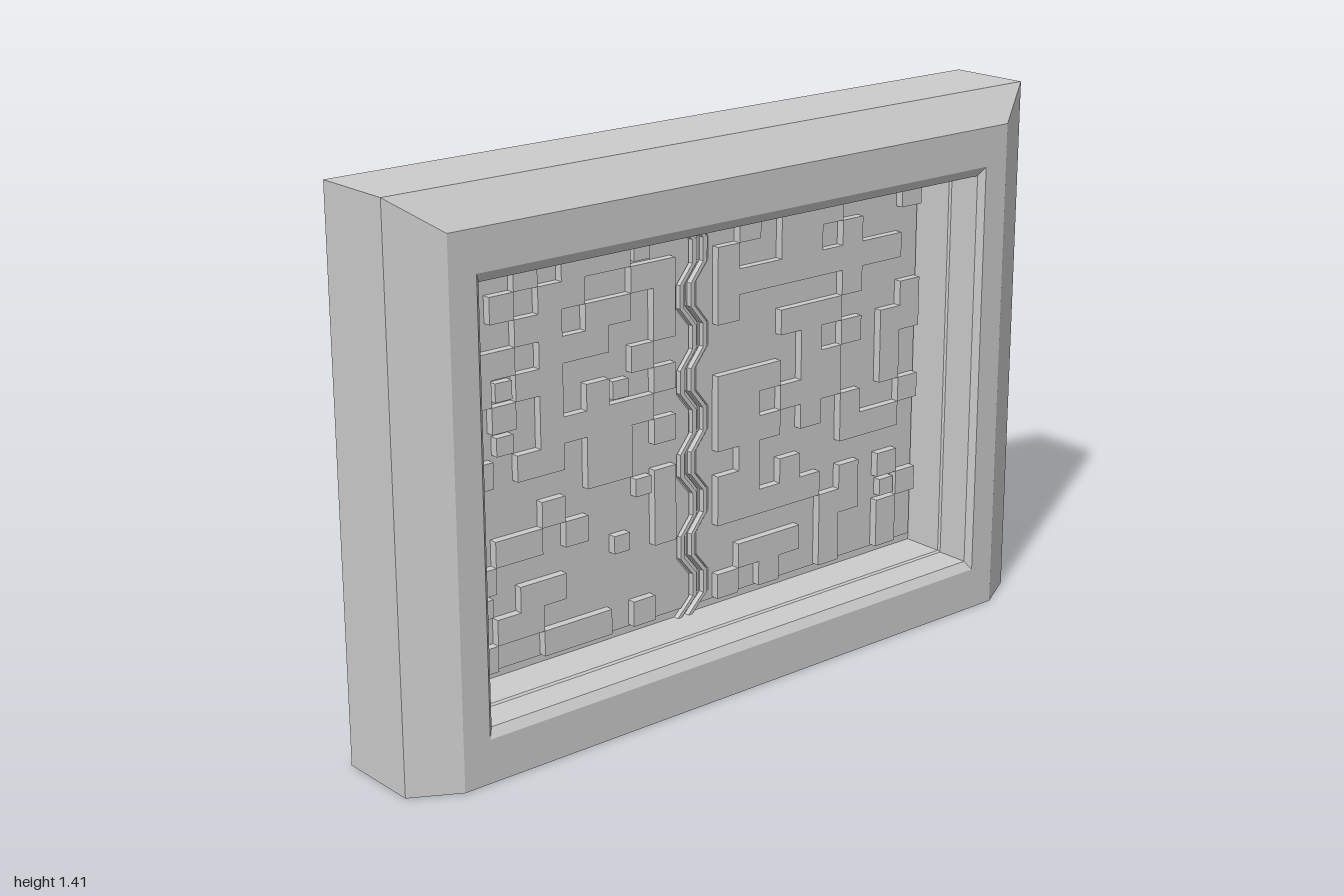
import * as THREE from 'three';
import { mergeGeometries } from 'three/addons/utils/BufferGeometryUtils.js';

const DOOR_Z = -0.06;
const PANEL = 0.024; // half thickness of the leaf panels
const mat = new THREE.MeshStandardMaterial({ color: 0xcccccc, flatShading: true });

function addMesh(parent, name, geometry) {
  const mesh = new THREE.Mesh(geometry, mat);
  mesh.name = name;
  parent.add(mesh);
  return mesh;
}

// Closed frame: rectangular rings [halfWidth, bottom, top, z] joined in a loop
function frameGeometry(rings) {
  const pos = [];
  const corners = ([w, b, t, z]) => [[-w, b, z], [w, b, z], [w, t, z], [-w, t, z]];
  rings.forEach((ring, i) => {
    const p = corners(ring);
    const q = corners(rings[(i + 1) % rings.length]);
    for (let k = 0; k < 4; k++) {
      const n = (k + 1) % 4;
      pos.push(...p[k], ...p[n], ...q[n], ...p[k], ...q[n], ...q[k]);
    }
  });
  const g = new THREE.BufferGeometry();
  g.setAttribute('position', new THREE.Float32BufferAttribute(pos, 3));
  g.computeVertexNormals();
  return g;
}

// Zigzag line beside the seam, from bottom to top
function seamLine(bottom, top, offset) {
  const right = 0.014, left = -0.026, flat = 0.03;
  const pts = [[right - (0.19 - bottom), bottom]];
  for (let i = 0; i < 5; i++) {
    const y = 0.22 + i * 0.22;
    pts.push([right, y - flat], [right, y + flat]);
    if (i < 4) pts.push([left, y + 0.11 - flat], [left, y + 0.11 + flat]);
  }
  pts.push([right - (top - 1.13), top]);
  return pts.map(([x, y]) => [x + offset, y]);
}

// Slab with the given outline, centred on the door plane
function slab(pts, halfDepth) {
  const shape = new THREE.Shape(pts.map(([x, y]) => new THREE.Vector2(x, y)));
  const g = new THREE.ExtrudeGeometry(shape, { depth: 2 * halfDepth, bevelEnabled: false });
  return g.translate(0, 0, DOOR_Z - halfDepth);
}

// One layer of a door leaf; side is +1 or -1
function leafLayer(side, outer, bottom, top, gap, halfDepth) {
  const edge = seamLine(bottom, top, side * gap);
  return slab([[side * outer, bottom], ...edge, [side * outer, top]], halfDepth);
}

// Zigzag bead running along the seam edge of a leaf
function seamBead(side, near, far, halfDepth) {
  const a = seamLine(0.14, 1.198, side * near);
  const b = seamLine(0.14, 1.198, side * far);
  return slab([...a, ...b.reverse()], halfDepth);
}

function seeded(seed) {
  return () => {
    seed = (seed * 16807) % 2147483647;
    return seed / 2147483647;
  };
}

// Irregular raised blocks on one face of a leaf, on a square grid
function reliefGeometry(x0, x1, face, rand) {
  const cols = 10, rows = 15, y0 = 0.167, y1 = 1.168;
  const cw = (x1 - x0) / cols, ch = (y1 - y0) / rows;
  const height = 0.022;
  const parts = [];
  for (let r = 0; r < rows; r++) {
    for (let c = 0; c < cols; c++) {
      const pick = rand();
      if (pick > 0.46) continue;
      const size = pick < 0.42 ? 1 : 0.7;
      const g = new THREE.BoxGeometry(cw * size, ch * size, height);
      g.translate(x0 + (c + 0.5) * cw, y0 + (r + 0.5) * ch, DOOR_Z + face * (PANEL + height / 2));
      parts.push(g);
    }
  }
  return mergeGeometries(parts);
}

export function createModel() {
  const model = new THREE.Group();
  model.name = 'doorway';

  // Bevelled outer frame: stepped opening in front, plain opening behind
  addMesh(model, 'frame', frameGeometry([
    [1, 0, 1.415, -0.112],
    [1, 0, 1.415, 0.112],
    [0.88, 0, 1.33, 0.18],
    [0.805, 0.112, 1.227, 0.18],
    [0.79, 0.135, 1.203, 0.165],
    [0.79, 0.135, 1.203, 0.075],
    [0.785, 0.14, 1.198, 0.07],
    [0.785, 0.14, 1.198, -0.18],
    [0.88, 0, 1.33, -0.18],
  ]));

  // Core behind the seam
  const core = addMesh(model, 'doorCore', new THREE.BoxGeometry(1.58, 1.07, 0.02));
  core.position.set(0, 0.669, DOOR_Z);

  // Two leaves, each with a rim, a panel, a seam bead and blocks on both faces
  [-1, 1].forEach((side) => {
    const leaf = new THREE.Group();
    leaf.name = side > 0 ? 'leftLeaf' : 'rightLeaf';
    model.add(leaf);
    addMesh(leaf, 'leafRim', leafLayer(side, 0.787, 0.138, 1.2, 0.007, 0.015));
    addMesh(leaf, 'leafPanel', leafLayer(side, 0.776, 0.163, 1.172, 0.032, PANEL));
    addMesh(leaf, 'seamBead', seamBead(side, 0.011, 0.024, 0.03));
    const [x0, x1] = side > 0 ? [0.06, 0.77] : [-0.775, -0.078];
    [1, -1].forEach((face) => {
      const rand = seeded(4177 + side * 911 + face * 353);
      addMesh(leaf, face > 0 ? 'frontBlocks' : 'backBlocks', reliefGeometry(x0, x1, face, rand));
    });
  });

  return model;
}
